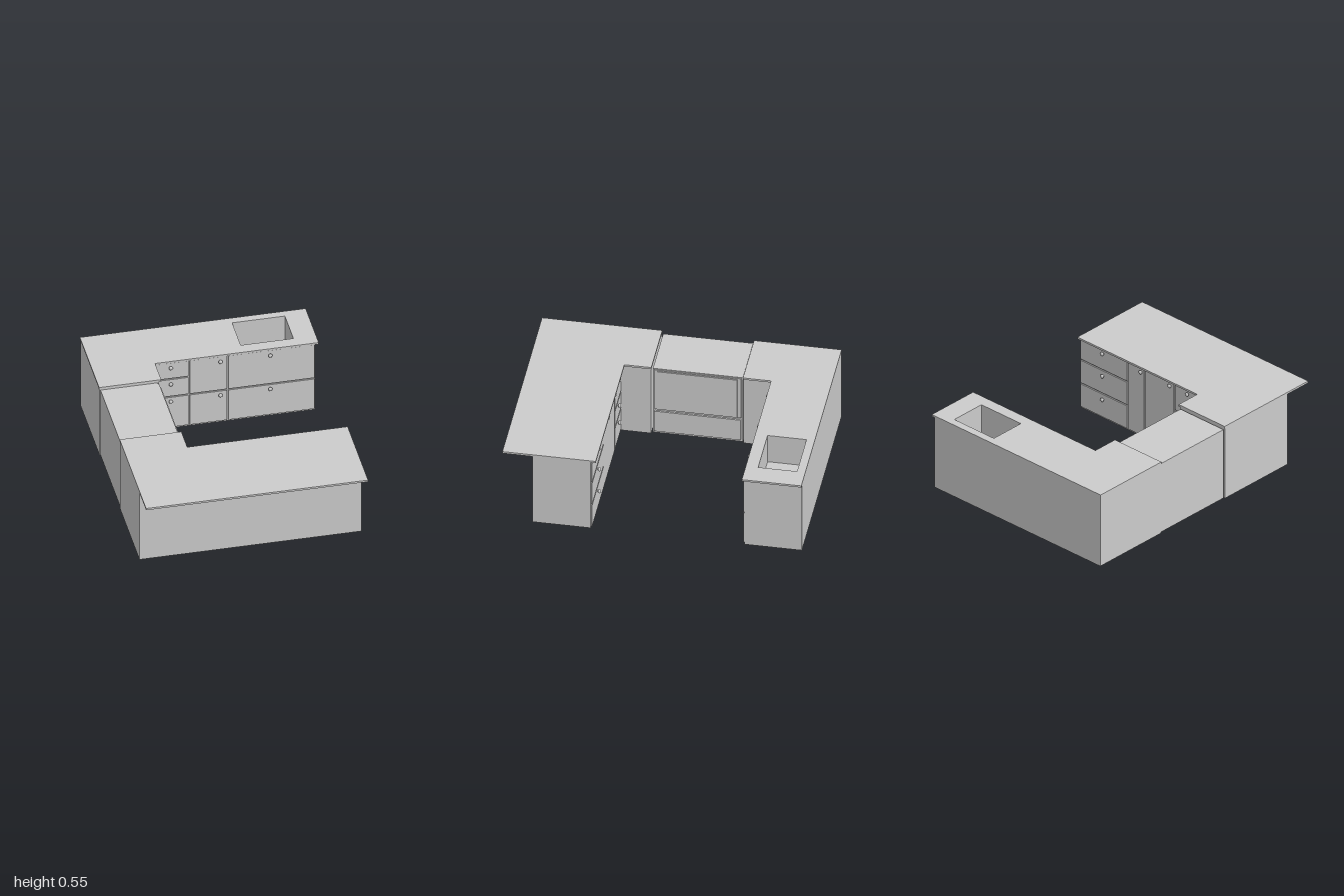
import * as THREE from 'three';

const mat = new THREE.MeshStandardMaterial({ color: 0xcccccc });

function add(parent, name, geometry, x = 0, y = 0, z = 0) {
  const m = new THREE.Mesh(geometry, mat);
  m.name = name;
  m.position.set(x, y, z);
  parent.add(m);
  return m;
}

// Box given by its lower and upper limits
function block(parent, name, x0, x1, y0, y1, z0, z1) {
  return add(parent, name, new THREE.BoxGeometry(x1 - x0, y1 - y0, z1 - z0),
    (x0 + x1) / 2, (y0 + y1) / 2, (z0 + z1) / 2);
}

// Horizontal slab from a floor plan of [x, z] corners
function slab(parent, name, plan, y0, y1, hole) {
  const toPoints = (list) => list.map(([x, z]) => new THREE.Vector2(x, z));
  const shape = new THREE.Shape(toPoints(plan));
  if (hole) shape.holes.push(new THREE.Path(toPoints(hole)));
  const g = new THREE.ExtrudeGeometry(shape, { depth: y1 - y0, bevelEnabled: false });
  g.rotateX(Math.PI / 2);
  return add(parent, name, g, 0, y1, 0);
}

// L-shaped plan: a long run plus a short leg on the left-hand side
const lPlan = (xOut, xIn, xEnd, zOuter, zInner, zLeg) => [
  [xOut, zOuter], [xEnd, zOuter], [xEnd, zInner], [xIn, zInner], [xIn, zLeg], [xOut, zLeg]];

// Column of drawer or door fronts; dir is the way they face along z
function frontColumn(parent, dir, zFace, { x0, x1, splits, knobX, knobs }) {
  const column = new THREE.Group();
  column.name = 'frontColumn';
  const levels = [0.008, ...splits, 0.532];
  const zOut = zFace + dir * 0.009;
  for (let i = 0; i < levels.length - 1; i++) {
    block(column, 'drawerFront', x0 + 0.005, x1 - 0.005, levels[i] + 0.005, levels[i + 1] - 0.005,
      Math.min(zFace, zOut), Math.max(zFace, zOut));
  }
  for (const y of knobs) {
    const stem = new THREE.CylinderGeometry(0.006, 0.006, 0.012, 12).rotateX(Math.PI / 2);
    add(column, 'knobStem', stem, knobX, y, zOut + dir * 0.005);
    const ball = new THREE.SphereGeometry(0.014, 16, 12).scale(1, 1, 0.7);
    add(column, 'knob', ball, knobX, y, zOut + dir * 0.012);
  }
  parent.add(column);
}

export function createModel() {
  const kitchen = new THREE.Group();
  kitchen.name = 'kitchen';

  // Peninsula with an overhanging worktop
  const peninsula = new THREE.Group();
  peninsula.name = 'peninsula';
  kitchen.add(peninsula);
  slab(peninsula, 'peninsulaBody', lPlan(-0.76, -0.36, 0.735, 0.8, 0.41, 0.2), 0, 0.536);
  slab(peninsula, 'peninsulaWorktop', lPlan(-0.76, -0.345, 0.735, 1.0, 0.377, 0.197), 0.536, 0.55);
  [
    { x0: 0.305, x1: 0.735, splits: [0.19, 0.37], knobX: 0.525, knobs: [0.5, 0.33, 0.15] },
    { x0: 0.155, x1: 0.305, splits: [], knobX: 0.18, knobs: [0.5] },
    { x0: -0.115, x1: 0.155, splits: [], knobX: -0.08, knobs: [0.5] },
    { x0: -0.355, x1: -0.115, splits: [0.185, 0.325], knobX: -0.24, knobs: [0.5, 0.29, 0.15] },
  ].forEach((c) => frontColumn(peninsula, -1, 0.41, c));

  // Back run with a sunken basin
  const backRun = new THREE.Group();
  backRun.name = 'backRun';
  kitchen.add(backRun);
  const basin = [[0.25, -0.945], [0.605, -0.945], [0.605, -0.685], [0.25, -0.685]];
  const bodyPlan = lPlan(-0.76, -0.36, 0.735, -1, -0.617, -0.417);
  const topPlan = lPlan(-0.763, -0.345, 0.757, -1, -0.603, -0.415);
  slab(backRun, 'backBodyLower', bodyPlan, 0, 0.33);
  slab(backRun, 'backBodyUpper', bodyPlan, 0.33, 0.531, basin);
  slab(backRun, 'backWorktop', topPlan, 0.531, 0.545, basin);
  [
    { x0: -0.355, x1: -0.115, splits: [0.257, 0.4], knobX: -0.24, knobs: [0.495, 0.365, 0.225] },
    { x0: -0.115, x1: 0.145, splits: [0.257], knobX: 0.095, knobs: [0.495, 0.225] },
    { x0: 0.145, x1: 0.735, splits: [0.257], knobX: 0.43, knobs: [0.495, 0.225] },
  ].forEach((c) => frontColumn(backRun, 1, -0.617, c));

  // Oven between the two legs, facing +x
  const oven = new THREE.Group();
  oven.name = 'oven';
  kitchen.add(oven);
  block(oven, 'ovenBody', -0.755, -0.37, 0.004, 0.527, -0.41, 0.19);
  block(oven, 'ovenDoor', -0.37, -0.362, 0.2, 0.522, -0.4, 0.18);
  block(oven, 'ovenWindow', -0.362, -0.355, 0.21, 0.513, -0.375, 0.157);
  block(oven, 'ovenDrawer', -0.37, -0.358, 0.022, 0.185, -0.397, 0.18);

  return kitchen;
}
